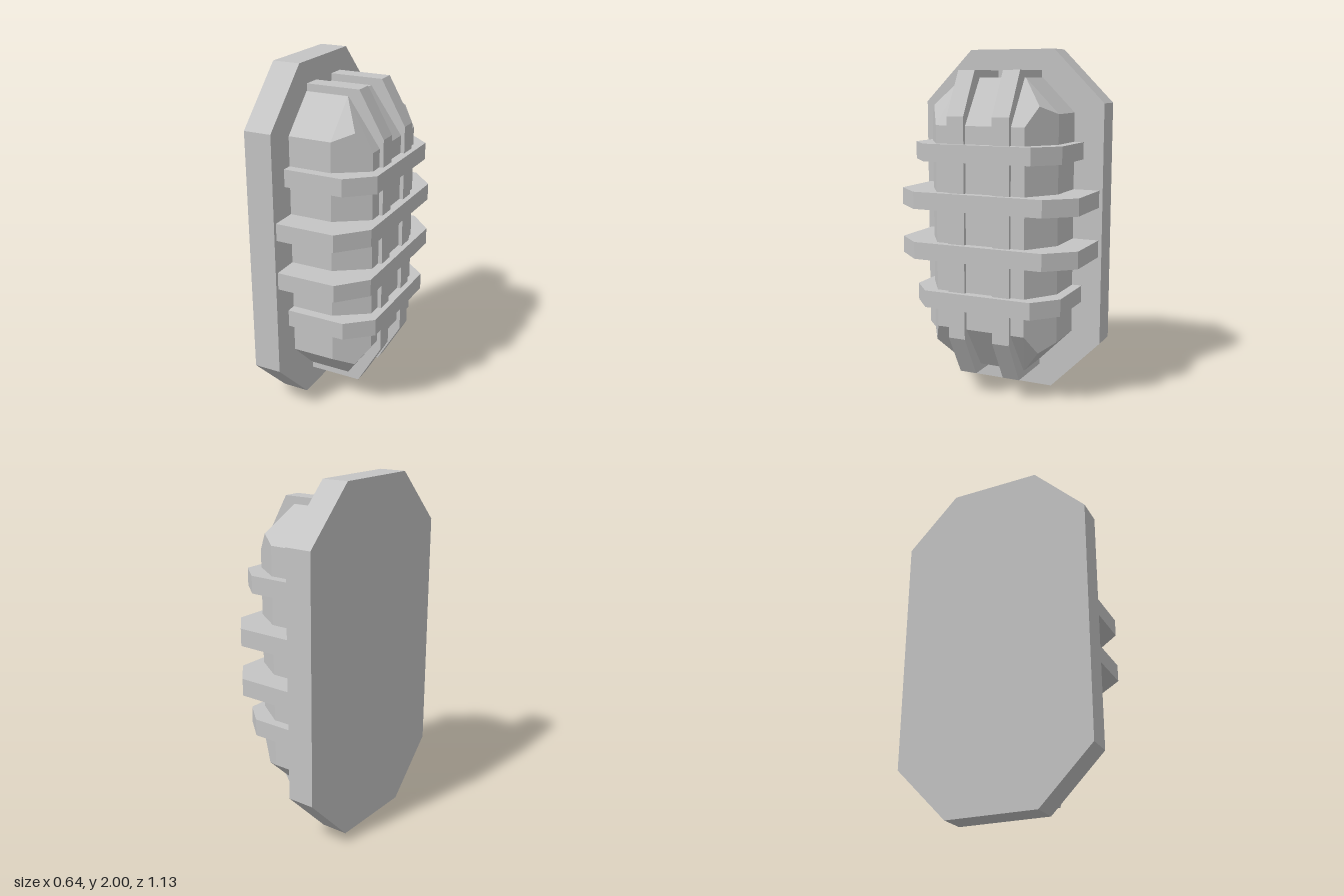
import * as THREE from 'three';
import { ConvexGeometry } from 'three/addons/geometries/ConvexGeometry.js';

const BACK = -0.162; // front plane of the mounting plate

// Straight prism from a 2D outline, starting at depth 0
function prism(points, depth) {
  const shape = new THREE.Shape(points.map(([x, y]) => new THREE.Vector2(x, y)));
  return new THREE.ExtrudeGeometry(shape, { depth, bevelEnabled: false });
}

export function createModel() {
  const group = new THREE.Group();
  const grey = new THREE.MeshStandardMaterial({ color: 0xc4c4c4 });
  grey.name = 'grey metal';
  const add = (name, geometry) => {
    const mesh = new THREE.Mesh(geometry, grey);
    mesh.name = name;
    group.add(mesh);
  };

  // Octagonal mounting plate, lying in the y-z plane
  const plate = prism([
    [-0.263, 0], [0.263, 0], [0.565, 0.305], [0.565, 1.697],
    [0.263, 2], [-0.263, 2], [-0.565, 1.697], [-0.565, 0.305],
  ], 0.158);
  plate.rotateY(Math.PI / 2).translate(-0.32, 0, 0);
  add('mountingPlate', plate);

  // Faceted lamp cover: one corner of the hull, mirrored in y and z
  const corner = [
    [BACK, 0.641, 0.39], [BACK, 0.836, 0.195],
    [0.085, 0.641, 0.39], [0.085, 0.836, 0.195],
    [0.19, 0.684, 0.32], [0.268, 0.576, 0.268],
  ];
  const hull = [];
  for (const sy of [-1, 1]) for (const sz of [-1, 1]) {
    for (const [x, y, z] of corner) hull.push(new THREE.Vector3(x, 1.003 + sy * y, sz * z));
  }
  add('lampCover', new ConvexGeometry(hull));

  // Two upright guard bars
  for (const z of [-0.137, 0.137]) {
    const bar = prism([
      [BACK, 0.127], [0.148, 0.127], [0.29, 0.373],
      [0.29, 1.63], [0.148, 1.88], [BACK, 1.88],
    ], 0.102);
    bar.translate(0, 0, z - 0.051);
    add('uprightGuard', bar);
  }

  // Four cross guard bars, the middle pair wider: [y, half width, front half width]
  for (const [y, w, f] of [[0.545, 0.447, 0.323], [0.821, 0.545, 0.39], [1.109, 0.545, 0.39], [1.381, 0.447, 0.323]]) {
    const bar = prism([[BACK, -w], [0.178, -w], [0.32, -f], [0.32, f], [0.178, w], [BACK, w]], 0.098);
    bar.rotateX(-Math.PI / 2).translate(0, y, 0);
    add('crossGuard', bar);
  }
  return group;
}
